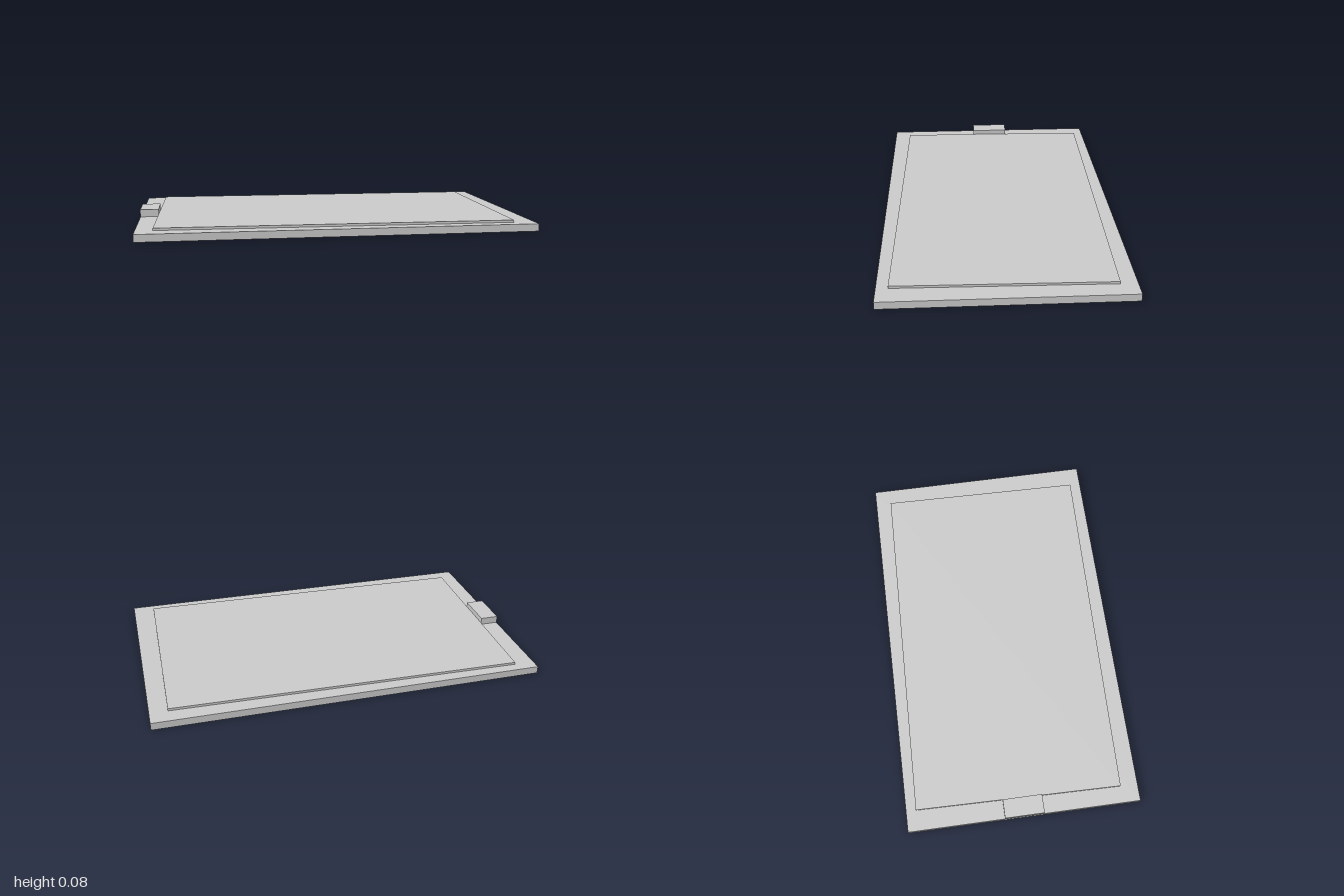
import * as THREE from 'three';

export function createModel() {
  const group = new THREE.Group();
  const material = new THREE.MeshStandardMaterial({ color: 0xcccccc, flatShading: true });

  // Box given by its size, footprint centre, bottom height and turn about y
  function slab(name, [w, h, d], [x, bottom, z], turn = 0) {
    const mesh = new THREE.Mesh(new THREE.BoxGeometry(w, h, d), material);
    mesh.name = name;
    mesh.position.set(x, bottom + h / 2, z);
    mesh.rotation.y = turn;
    group.add(mesh);
  }

  // Backing board
  slab('board', [1.996, 0.038, 1.212], [0, 0, 0], -0.002);
  // Sheets of paper, lying slightly askew
  slab('paper', [1.8, 0.012, 1.07], [-0.002, 0.038, -0.003], -0.02);
  // Clip on the short edge
  slab('clip', [0.096, 0.038, 0.205], [-0.951, 0.038, -0.003], -0.002);

  return group;
}
